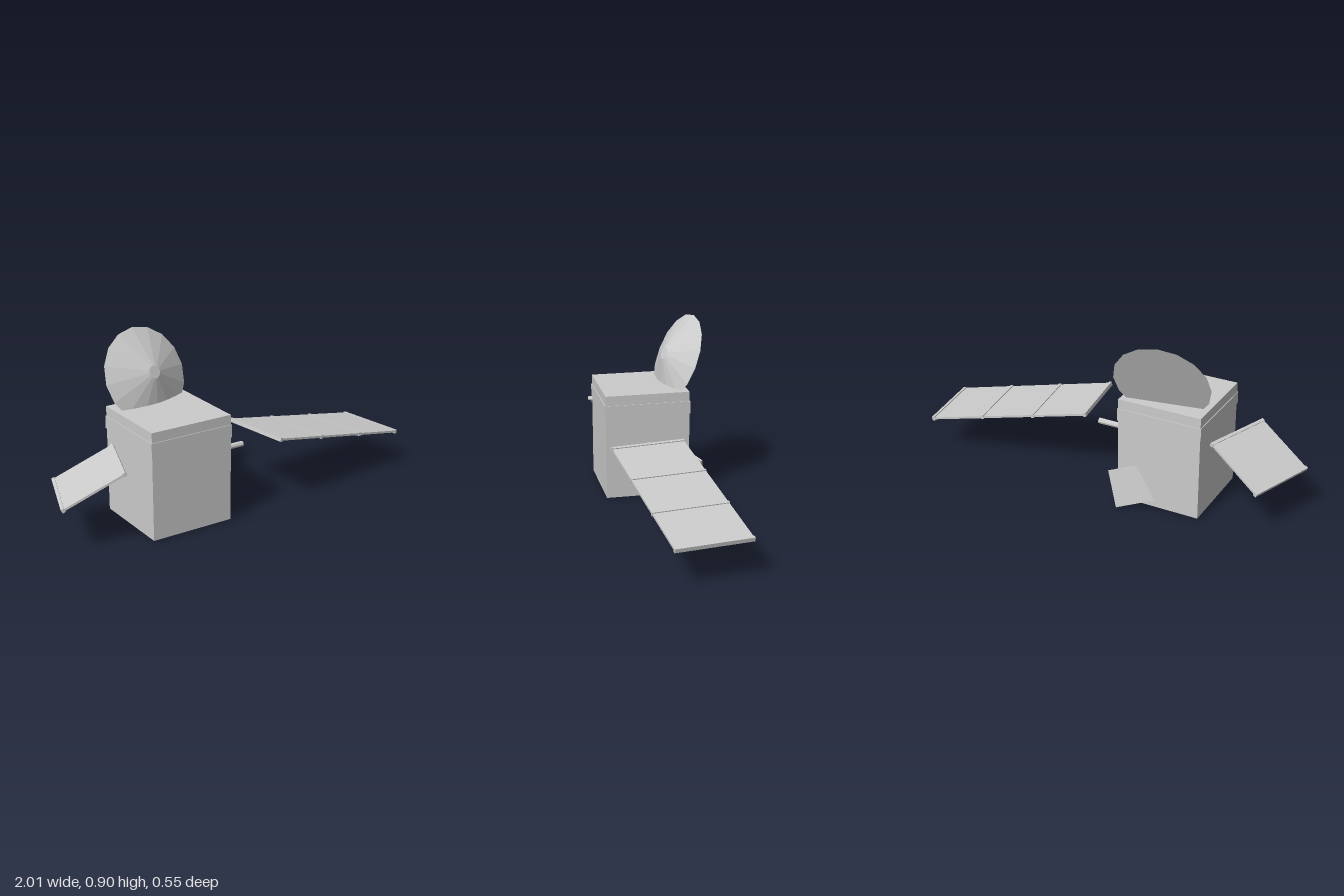
import * as THREE from 'three';

const material = new THREE.MeshStandardMaterial({ color: 0xcccccc, flatShading: true });

function add(parent, name, geometry, x = 0, y = 0, z = 0) {
  const mesh = new THREE.Mesh(geometry, material);
  mesh.name = name;
  mesh.position.set(x, y, z);
  parent.add(mesh);
  return mesh;
}

// Thin plate divided by raised crossbars, running along its local x
function solarPanel(name, length, width, sections) {
  const panel = new THREE.Group();
  panel.name = name;
  const bar = 0.016;
  add(panel, 'panelSheet', new THREE.BoxGeometry(length - bar, 0.011, width - 0.004));
  for (let i = 0; i <= sections; i++) {
    const x = -length / 2 + bar / 2 + (i / sections) * (length - bar);
    add(panel, 'panelCrossbar', new THREE.BoxGeometry(bar, 0.02, width), x);
  }
  return panel;
}

export function createModel() {
  const model = new THREE.Group();
  model.name = 'brokenSatellite';

  // Box body with a slightly raised band below the top
  const bx = -0.367, bz = 0.032;
  add(model, 'body', new THREE.BoxGeometry(0.435, 0.545, 0.435), bx, 0.2825, bz);
  add(model, 'bodyBand', new THREE.BoxGeometry(0.443, 0.065, 0.443), bx, 0.4725, bz);

  // Stub of the panel arm
  const arm = add(model, 'armStub', new THREE.CylinderGeometry(0.015, 0.015, 0.27, 8), -0.065, 0.284, 0.026);
  arm.rotation.z = Math.PI / 2;

  // Dish: shallow closed cone leaning back, sunk into the top of the body
  const dish = new THREE.Group();
  dish.name = 'dish';
  dish.position.set(-0.372, 0.68, -0.17);
  dish.rotation.set(-0.4, 0.17, 0, 'YXZ');
  const cone = add(dish, 'dishShell', new THREE.CylinderGeometry(0.032, 0.24, 0.08, 16), 0, 0, 0.04);
  cone.rotation.x = Math.PI / 2;
  model.add(dish);

  // Long detached panel on the left
  const longPanel = solarPanel('longSolarPanel', 0.892, 0.378, 3);
  longPanel.position.set(0.536, 0.281, 0.026);
  longPanel.rotation.set(0, 0.138, -0.207);
  model.add(longPanel);

  // Short detached panel on the right
  const shortPanel = solarPanel('shortSolarPanel', 0.338, 0.37, 1);
  shortPanel.position.set(-0.803, 0.309, 0.026);
  shortPanel.rotation.set(0, -0.34, 0.473);
  model.add(shortPanel);

  // Loose plate stuck into the back
  const inward = new THREE.Vector3(-0.85, 0.2, 0.47).normalize();
  const normal = inward.clone().cross(new THREE.Vector3(0.288, 0.948, 0.136)).normalize();
  const along = normal.clone().cross(inward);
  const plate = add(model, 'backPlate', new THREE.BoxGeometry(0.26, 0.19, 0.01));
  plate.quaternion.setFromRotationMatrix(new THREE.Matrix4().makeBasis(inward, along, normal));
  plate.position.set(-0.157, 0.095, -0.26).addScaledVector(inward, 0.13);

  return model;
}
